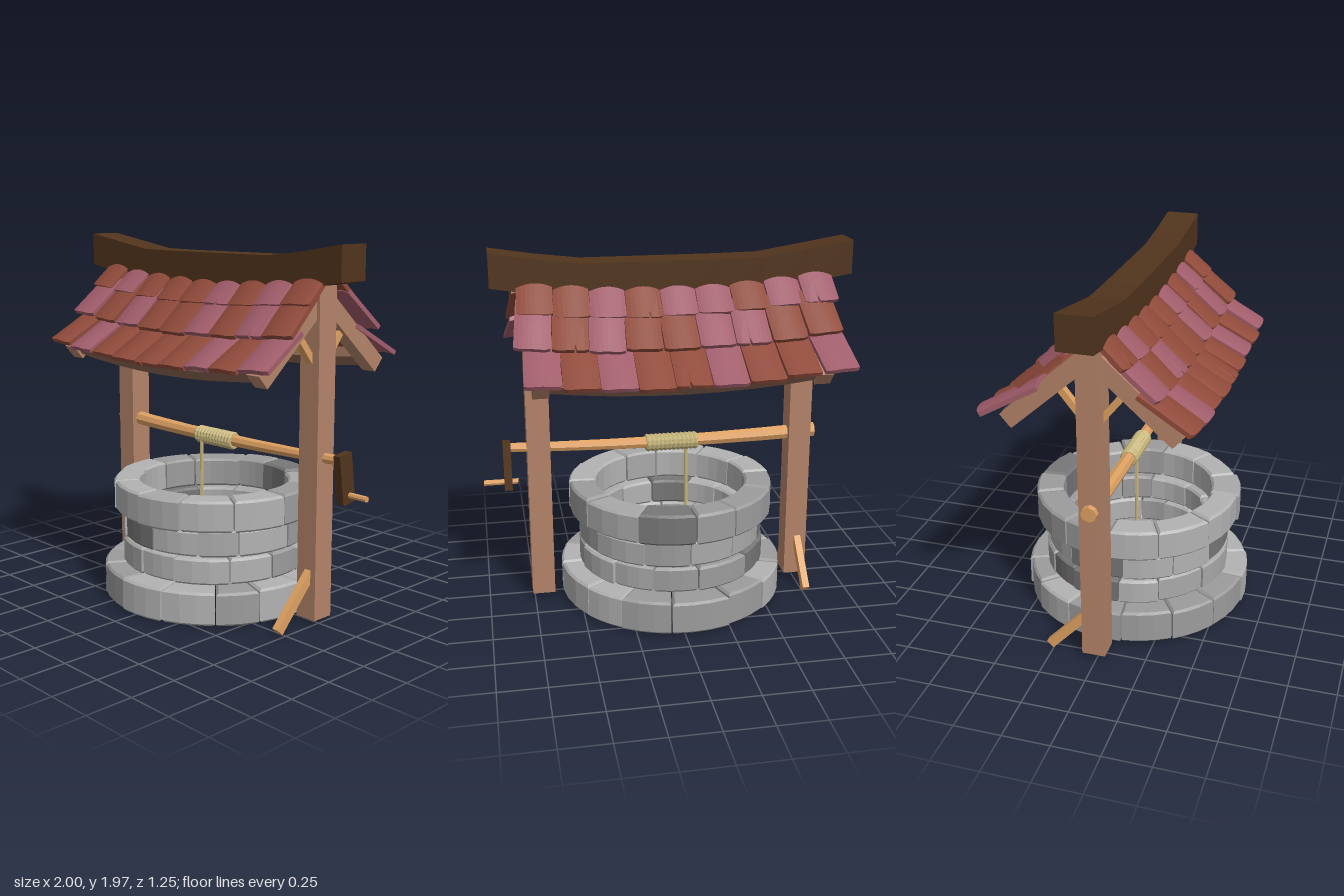
import * as THREE from 'three';

const mat = (color) => new THREE.MeshStandardMaterial({ color, flatShading: true });
const STONES = [0xa9a9a9, 0x9c9c9c, 0xb2b2b2, 0x777777].map(mat);
const RED = mat(0x8f4a3a), PINK = mat(0xa05c6a);
const DARK = mat(0x51341d), POST = mat(0xb38368), PURLIN = mat(0x8a6450);
const LIGHT = mat(0xdea162), ROPE = mat(0xc6b67c);
const ZC = -0.015; // frame centre line in z

let seed = 7;
const rand = () => (seed = (seed * 16807) % 2147483647) / 2147483647;
const jitter = (a) => (rand() - 0.5) * 2 * a;

function add(parent, name, geo, material, x = 0, y = 0, z = 0) {
  const m = new THREE.Mesh(geo, material);
  m.name = name;
  m.position.set(x, y, z);
  parent.add(m);
  return m;
}

// Move every vertex of a geometry by a rule
function warp(geo, rule) {
  const p = geo.attributes.position, v = new THREE.Vector3();
  for (let i = 0; i < p.count; i++) {
    rule(v.fromBufferAttribute(p, i));
    p.setXYZ(i, v.x, v.y, v.z);
  }
  geo.computeVertexNormals();
  return geo;
}

// Square timber between two points in a plane of constant x
function timber(parent, name, x, [z0, y0], [z1, y1], wx, w, material) {
  const m = add(parent, name, new THREE.BoxGeometry(wx, w, Math.hypot(z1 - z0, y1 - y0)), material,
    x, (y0 + y1) / 2, (z0 + z1) / 2);
  m.rotation.x = -Math.atan2(y1 - y0, z1 - z0);
  return m;
}

// One bevelled stone: a piece of a ring
function stoneGeometry(rIn, rOut, a0, a1, h) {
  const b = 0.012, s = new THREE.Shape();
  const gOut = (b + 0.003) / rOut, gIn = (b + 0.003) / rIn;
  const n = 3;
  for (let i = 0; i <= n; i++) {
    const a = THREE.MathUtils.lerp(a0 + gOut, a1 - gOut, i / n);
    s[i ? 'lineTo' : 'moveTo'](Math.cos(a) * (rOut - b), Math.sin(a) * (rOut - b));
  }
  for (let i = n; i >= 0; i--) {
    const a = THREE.MathUtils.lerp(a0 + gIn, a1 - gIn, i / n);
    s.lineTo(Math.cos(a) * (rIn + b), Math.sin(a) * (rIn + b));
  }
  s.closePath();
  const g = new THREE.ExtrudeGeometry(s, {
    depth: h - 2 * b, bevelEnabled: true, bevelSize: b, bevelThickness: b, bevelSegments: 1,
  });
  return g.translate(0, 0, b).rotateX(-Math.PI / 2);
}

function stoneRings() {
  const g = new THREE.Group();
  g.name = 'wellWall';
  g.position.set(-0.03, 0, 0);
  const rings = [ // bottom, top, inner radius, outer radius, stones, start angle
    [0.015, 0.195, 0.43, 0.62, 14, 0.1],
    [0.2, 0.342, 0.38, 0.515, 13, 0.3],
    [0.348, 0.49, 0.38, 0.515, 12, 0.05],
    [0.495, 0.66, 0.415, 0.565, 12, 0],
  ];
  for (const [y0, y1, rIn, rOut, n, start] of rings) {
    const step = (Math.PI * 2) / n;
    const cuts = Array.from({ length: n }, (_, i) => start + i * step + jitter(step * 0.14));
    cuts.push(cuts[0] + Math.PI * 2);
    for (let i = 0; i < n; i++) {
      const r = rOut + jitter(0.008);
      const m = STONES[rand() < 0.12 ? 3 : Math.floor(rand() * 3)];
      add(g, 'stone', stoneGeometry(rIn + jitter(0.008), r, cuts[i], cuts[i + 1], y1 - y0 + jitter(0.005)), m, 0, y0, 0);
    }
  }
  return g;
}

// Domed tile with rounded lower corners; some have a split in the lower edge
function tileGeometry(w, len, split) {
  const g = new THREE.BoxGeometry(w, len, 0.024, 8, 2, 1);
  return warp(g, (v) => {
    const u = v.x / (w / 2);
    if (v.y < -len * 0.4) {
      v.y += 0.016 * u ** 4;
      if (split && Math.abs(u - split) < 0.3) {
        if (Math.abs(u - split) < 0.01) v.y += 0.035;
        else v.x = (split + Math.sign(u - split) * 0.07) * w / 2;
      }
    }
    v.z -= 0.016 * u * u;
  });
}

function roofSide(side) {
  const g = new THREE.Group();
  g.name = side > 0 ? 'frontTiles' : 'backTiles';
  const rows = [ // upper z, y and lower z, y
    [0.05, 1.785, 0.215, 1.635],
    [0.14, 1.69, 0.36, 1.495],
    [0.25, 1.515, 0.54, 1.35],
  ];
  const colours = side > 0
    ? ['RPRRRPRPR', 'PRPRRPRPR', 'RPRRRRPRP']
    : ['PPRPPRPRR', 'RRPPRRPRP', 'PRRPRRPRP'];
  const starts = side > 0 ? [-0.87, -0.86, -0.85] : [-0.89, -0.87, -0.9];
  rows.forEach(([z0, y0, z1, y1], r) => {
    const len = Math.hypot(z1 - z0, y1 - y0), w = 1.68 / 9;
    for (let i = 0; i < 9; i++) {
      const x = starts[r] + (i + 0.5) * w;
      const split = (i * 2 + r) % 5 === 0 ? (i % 2 ? 0.25 : -0.25) : 0;
      const m = add(g, 'tile', tileGeometry(w - 0.003, len + jitter(0.012), split),
        colours[r][i] === 'P' ? PINK : RED,
        x, (y0 + y1) / 2 + 0.05 * (x / 0.8) ** 2, ZC + side * (z0 + z1) / 2);
      m.rotation.order = 'YXZ';
      m.rotation.y = side > 0 ? 0 : Math.PI;
      m.rotation.x = -Math.atan2(z1 - z0, y0 - y1) + jitter(0.03);
      m.rotation.z = side * 0.1 * x + jitter(0.03);
    }
  });
  return g;
}

function frame() {
  const g = new THREE.Group();
  g.name = 'frame';
  // Ridge beam with raised ends
  const ridge = warp(new THREE.BoxGeometry(1.92, 0.18, 0.18, 8, 1, 1).translate(-0.04, 0, 0), (v) => {
    v.y += Math.max(0, Math.abs(v.x) - 0.5) * 0.16;
  });
  add(g, 'ridgeBeam', ridge, DARK, 0, 1.81, -0.01);

  for (const [x, dir] of [[-0.755, -1], [0.7, 1]]) {
    add(g, 'post', new THREE.BoxGeometry(0.124, 1.74, 0.125), POST, x, 0.91, ZC);
    timber(g, 'footBrace', x + 0.01 * dir, [dir * 0.27, 0.03], [dir * 0.01, 0.31], 0.038, 0.05, LIGHT);
    for (const s of [1, -1]) {
      timber(g, 'rafter', x, [ZC, 1.71], [ZC + s * 0.435, 1.325], 0.085, 0.09, POST);
      timber(g, 'rafterBrace', x, [ZC + s * 0.03, 1.36], [ZC + s * 0.175, 1.54], 0.04, 0.035, LIGHT);
    }
  }
  // Sagging eaves beams
  for (const s of [1, -1]) {
    const geo = warp(new THREE.BoxGeometry(1.5, 0.065, 0.08, 8, 1, 1).rotateX(s * 0.72), (v) => {
      v.y += 0.05 * (v.x / 0.75) ** 2;
    });
    add(g, 'eavesBeam', geo, PURLIN, -0.025, 1.325, ZC + s * 0.4);
  }
  return g;
}

function winch() {
  const g = new THREE.Group();
  g.name = 'winch';
  g.position.z = ZC;
  const along = (r0, r1, len, sides, segs = 1) =>
    new THREE.CylinderGeometry(r1, r0, len, sides, segs).rotateZ(-Math.PI / 2);
  // Slightly bent axle
  const axle = warp(along(0.042, 0.026, 1.72, 8, 6), (v) => { v.y += 0.025 * v.x * v.x; });
  add(g, 'axle', axle, LIGHT, 0.01, 0.88, 0);
  // Rope coil and hanging rope
  add(g, 'ropeCore', along(0.043, 0.043, 0.28, 12), ROPE, -0.035, 0.878, 0);
  for (let i = 0; i < 12; i++) {
    const t = add(g, 'ropeTurn', new THREE.TorusGeometry(0.037, 0.0135, 6, 12), ROPE, -0.165 + i * 0.0238, 0.878, 0);
    t.rotation.y = Math.PI / 2 + 0.06;
  }
  add(g, 'hangingRope', new THREE.CylinderGeometry(0.01, 0.01, 0.46, 6), ROPE, -0.125, 0.63, 0.03);
  // Crank and handle
  const crank = add(g, 'crank', new THREE.BoxGeometry(0.042, 0.26, 0.092), DARK, 0.87, 0.805, -0.022);
  crank.rotation.x = 0.14;
  add(g, 'handle', along(0.016, 0.016, 0.185, 8), LIGHT, 0.9075, 0.718, -0.042);
  return g;
}

export function createModel() {
  const model = new THREE.Group();
  model.name = 'well';
  model.add(stoneRings(), frame(), roofSide(1), roofSide(-1), winch());
  return model;
}
